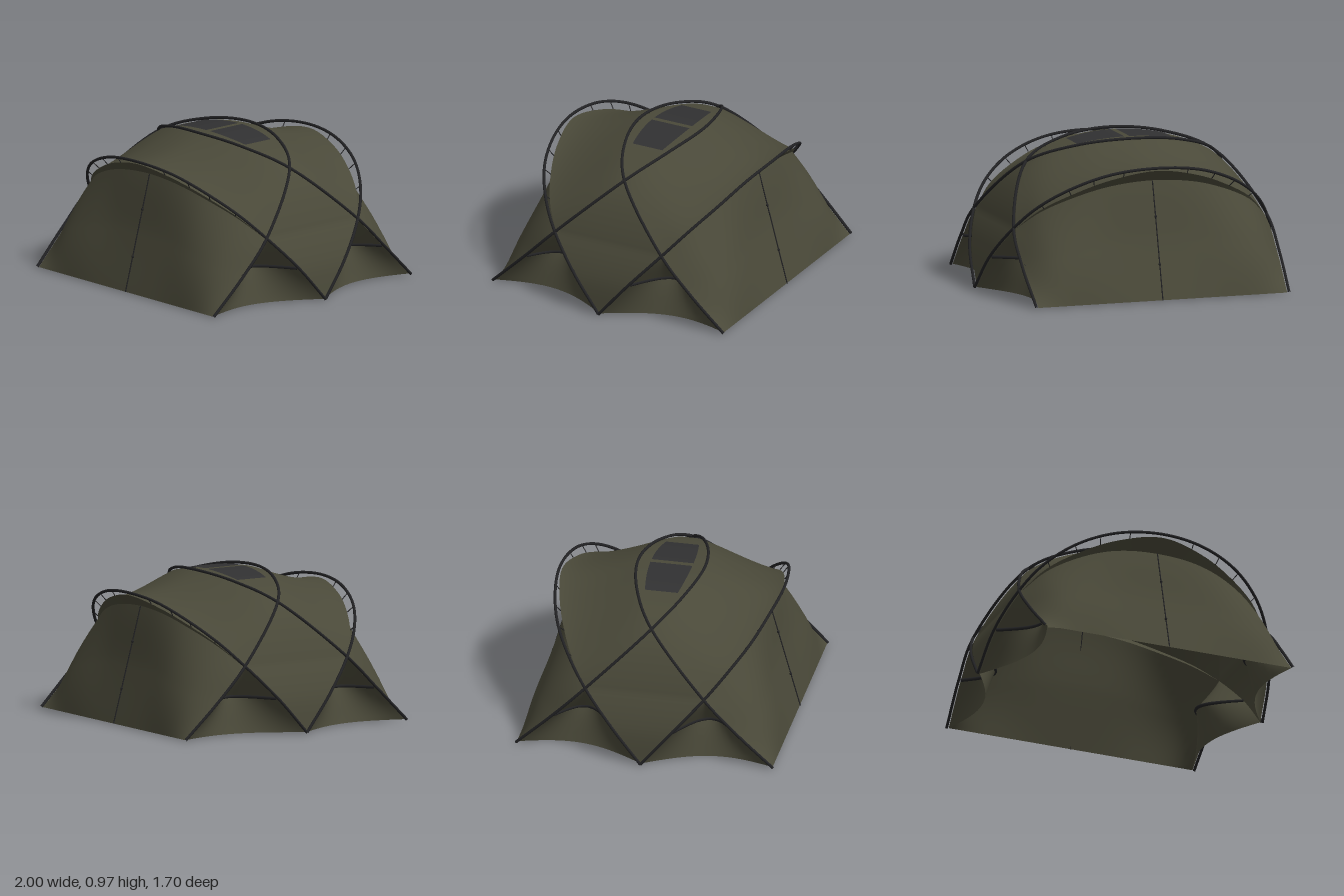
import * as THREE from 'three';

const V = (x, y, z) => new THREE.Vector3(x, y, z);
const mat = (name, color, side = THREE.FrontSide) => {
  const m = new THREE.MeshStandardMaterial({ color, side });
  m.name = name;
  return m;
};

// Symmetric arch: half the points are given, from the +x foot to the apex
function arch(half) {
  const pts = half.map(p => V(...p));
  const other = pts.slice(0, -1).reverse().map(p => V(-p.x, p.y, p.z));
  return new THREE.CatmullRomCurve3([...pts, ...other]);
}

// Long poles run corner to corner, short poles start at the middle of each side
const longPole = arch([[0.86, 0.005, 0.845], [0.875, 0.24, 0.6], [0.86, 0.45, 0.39],
  [0.64, 0.81, 0], [0.35, 0.922, -0.155], [0, 0.957, -0.22]]);
const shortPole = arch([[0.99, 0.005, 0], [0.955, 0.24, 0.2], [0.86, 0.45, 0.39],
  [0.74, 0.6, 0.52], [0.55, 0.73, 0.635], [0.3, 0.82, 0.705], [0, 0.85, 0.735]]);
// Front lip of the roof and top of the door wall
const lip = arch([[0.86, 0.45, 0.39], [0.73, 0.585, 0.505], [0.53, 0.7, 0.605],
  [0.3, 0.79, 0.68], [0, 0.843, 0.727]]);
const wallTop = arch([[0.86, 0.45, 0.39], [0.72, 0.575, 0.5], [0.5, 0.68, 0.59],
  [0.28, 0.742, 0.63], [0, 0.766, 0.638]]);

const A = i => longPole.getPoint(i / 10);
const B = i => shortPole.getPoint(i / 12);
const flipZ = p => V(p.x, p.y, -p.z);
const mix = (a, b, t) => a.clone().lerp(b, t);

// Grid surface from a function of (u, v)
function surface(fn, nu, nv) {
  const pos = [], idx = [];
  for (let j = 0; j <= nv; j++)
    for (let i = 0; i <= nu; i++) pos.push(...fn(i / nu, j / nv).toArray());
  for (let j = 0; j < nv; j++)
    for (let i = 0; i < nu; i++) {
      const a = j * (nu + 1) + i, b = a + 1, c = a + nu + 1, d = c + 1;
      idx.push(a, c, b, b, c, d);
    }
  const g = new THREE.BufferGeometry();
  g.setAttribute('position', new THREE.Float32BufferAttribute(pos, 3));
  g.setIndex(idx);
  g.computeVertexNormals();
  return g;
}

// Patch stretched between four edge curves
function coons(start, end, left, right) {
  const c00 = start(0), c10 = start(1), c01 = end(0), c11 = end(1);
  return (u, v) => mix(start(u), end(u), v).add(mix(left(v), right(v), u))
    .sub(mix(mix(c00, c10, u), mix(c01, c11, u), v));
}

export function createModel() {
  const fabric = mat('olive fabric', 0x4a4939, THREE.DoubleSide);
  const black = mat('black pole', 0x222224);
  const glass = mat('dark window', 0x313132, THREE.DoubleSide);

  const model = new THREE.Group();
  model.name = 'tent';
  const shell = new THREE.Group();
  shell.name = 'fabricShell';
  shell.scale.set(0.985, 0.985, 0.995); // fabric hangs just inside the poles
  model.add(shell);

  const add = (parent, name, geo, m) => {
    const mesh = new THREE.Mesh(geo, m);
    mesh.name = name;
    parent.add(mesh);
    return mesh;
  };
  const tube = (parent, name, curve, r, n = 80) =>
    add(parent, name, new THREE.TubeGeometry(curve, n, r, 8), black);
  const rod = (parent, name, a, b, r) => tube(parent, name, new THREE.LineCurve3(a, b), r, 1);

  // Roof between the two long poles
  add(shell, 'roofCentre', surface((u, v) => {
    const p = A(3 + 4 * u);
    return mix(p, flipZ(p), v);
  }, 40, 8), fabric);

  // Two roof window panes
  for (const s of [1, -1]) {
    add(model, 'roofWindow', surface((u, v) => {
      const x = 0.018 + 0.312 * u;
      const half = 0.138 - 0.03 * (x / 0.33) ** 2;
      return V(s * x, 0.957 - 0.32 * x * x, s * half * (2 * v - 1));
    }, 10, 4), glass);
  }

  // Front and back halves
  const roof = coons(u => flipZ(A(3 + 4 * u)), u => lip.getPoint(u),
    v => A(3 - v), v => A(7 + v));
  const wall = coons(u => V(0.86 - 1.72 * u, 0.005, 0.845), u => wallTop.getPoint(u),
    v => A(2 * v), v => A(10 - 2 * v));
  const wallPoint = (u, v) => {
    const k = Math.abs(2 * u - 1), p = wall(u, v);
    p.z += 0.07 * Math.sin(Math.PI * v) * 9.5 * k ** 3 * (1 - k);
    return p;
  };

  for (const s of [1, -1]) {
    const side = p => (s > 0 ? p : flipZ(p));
    const end = s > 0 ? 'front' : 'back';

    add(shell, end + 'Roof', surface((u, v) => {
      const p = roof(u, v);
      p.y -= 0.14 * v * (1 - v) * Math.sin(Math.PI * u);
      return side(p);
    }, 48, 20), fabric);
    add(shell, end + 'Wall', surface((u, v) => side(wallPoint(u, v)), 48, 24), fabric);
    add(shell, end + 'Awning', surface((u, v) =>
      side(mix(wallTop.getPoint(u), lip.getPoint(u), v)), 48, 4), fabric);

    // Door zip with two pulls
    const bottom = side(V(0, 0.005, 0.844)), top = side(V(0, 0.754, 0.637));
    rod(model, end + 'Zip', bottom, top, 0.004);
    for (const t of [0.3, 0.7]) {
      const pull = add(model, end + 'ZipPull', new THREE.SphereGeometry(0.009, 8, 6), black);
      pull.position.copy(mix(bottom, top, t));
    }

    // Poles
    const place = c => new THREE.CatmullRomCurve3(c.points.map(side));
    tube(model, end + 'LongPole', place(longPole), 0.0095);
    tube(model, end + 'ShortPole', place(shortPole), 0.0095);

    // Clips that hang the roof lip from the short pole
    for (const u of [0.14, 0.24, 0.32, 0.41, 0.59, 0.68, 0.76, 0.86]) {
      const f = lip.getPoint(u).multiply(shell.scale);
      rod(model, end + 'Clip', side(B(2 + 8 * u)), side(f), 0.003);
    }
  }

  // Left and right sides
  for (const sx of [1, -1]) {
    const flipX = p => V(sx * p.x, p.y, p.z);

    // Diamond panel framed by the crossing poles
    add(shell, 'sidePanel', surface((u, v) => {
      const p = v < 0.5 ? B(4 * v) : A(2 + 2 * (v - 0.5));
      return flipX(mix(p, flipZ(p), u));
    }, 10, 32), fabric);

    // Recessed corner panels, folded inward at a strap
    for (const sz of [1, -1]) {
      const corner = (u, v) => {
        const p = mix(A(2 * v), B(2 * v), u);
        const bow = v < 0.5 ? 0.13 + 0.14 * v : 0.4 * (1 - v);
        p.x -= bow * Math.sin(Math.PI * u);
        return V(sx * p.x, p.y, sz * p.z);
      };
      add(shell, 'cornerSkirt', surface((u, v) => corner(u, v / 2), 16, 8), fabric);
      add(shell, 'cornerVent', surface((u, v) => corner(u, 0.5 + v / 2), 16, 8), fabric);
      const pts = [0, 0.2, 0.35, 0.5, 0.65, 0.8, 1].map(u => corner(u, 0.5));
      tube(shell, 'cornerStrap', new THREE.CatmullRomCurve3(pts), 0.012, 24);
    }
  }
  return model;
}
